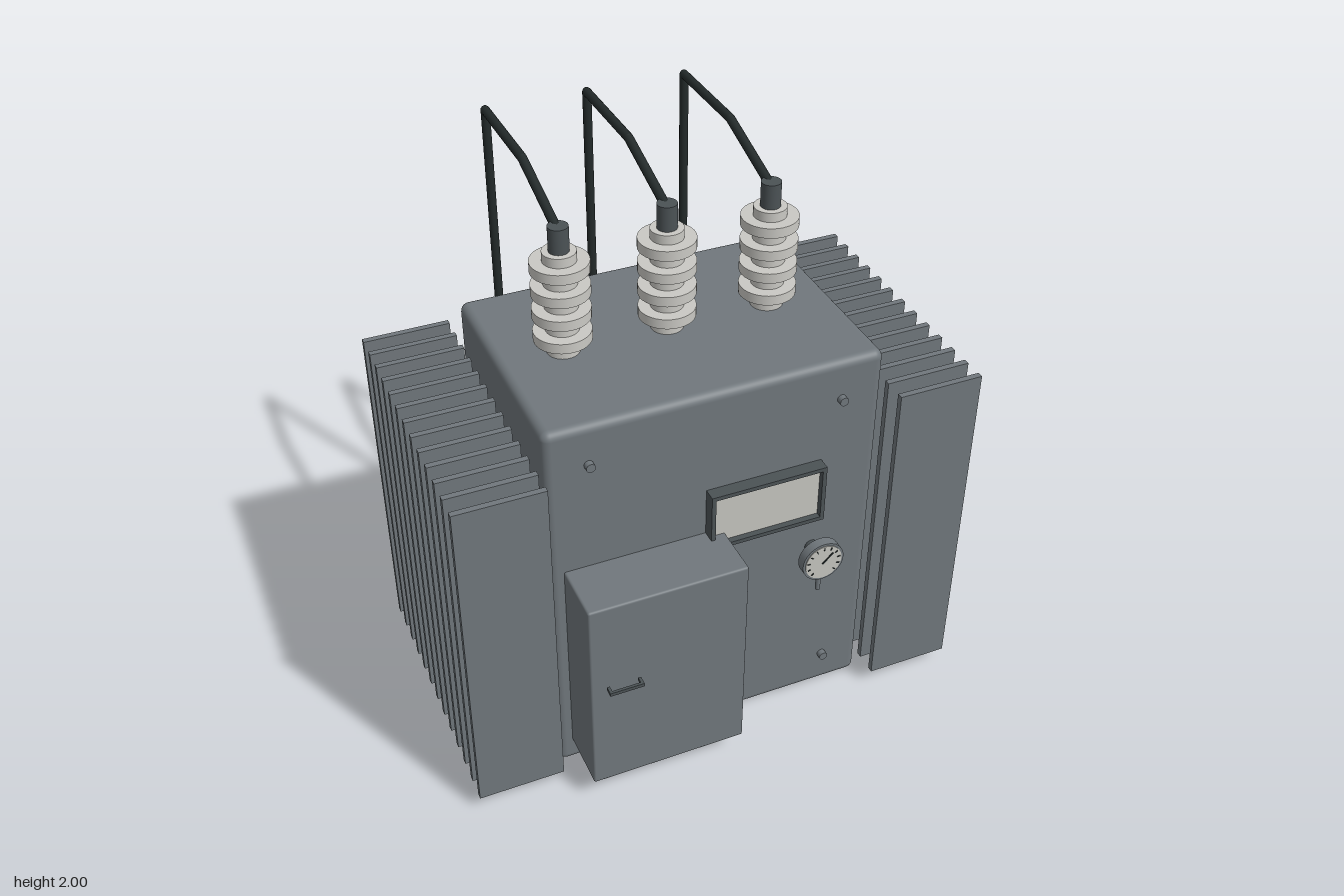
import * as THREE from 'three';
import { RoundedBoxGeometry } from 'three/addons/geometries/RoundedBoxGeometry.js';

const mat = (name, color) => {
  const m = new THREE.MeshStandardMaterial({ color });
  m.name = name;
  return m;
};

export function createModel() {
  const model = new THREE.Group();
  model.name = 'transformer';
  const paint = mat('grey paint', 0x70777c);
  const steel = mat('dark steel', 0x4b5255);
  const ceramic = mat('pale ceramic', 0xcac9c4);
  const plateColor = mat('plate', 0xc4c4be);
  const black = mat('black cable', 0x232a2a);

  const add = (parent, name, geometry, material, x = 0, y = 0, z = 0) => {
    const mesh = new THREE.Mesh(geometry, material);
    mesh.name = name;
    mesh.position.set(x, y, z);
    parent.add(mesh);
    return mesh;
  };
  const group = (name, x = 0, y = 0, z = 0) => {
    const g = new THREE.Group();
    g.name = name;
    g.position.set(x, y, z);
    model.add(g);
    return g;
  };
  const box = (w, h, d) => new THREE.BoxGeometry(w, h, d);
  const cyl = (r, h, n = 32) => new THREE.CylinderGeometry(r, r, h, n);
  const disc = (r, d, n = 32) => cyl(r, d, n).rotateX(Math.PI / 2);

  // Tank and control cabinet
  add(model, 'tank', new RoundedBoxGeometry(1.18, 1.445, 0.835, 4, 0.03), paint, 0, 0.7225, 0.0175);
  add(model, 'cabinet', new RoundedBoxGeometry(0.56, 0.79, 0.225, 2, 0.008), paint, -0.26, 0.49, 0.535);

  // Cabinet handle: a bar on two short posts
  const handle = group('handle', -0.43, 0.55, 0.69);
  add(handle, 'handleBar', box(0.12, 0.013, 0.01), steel);
  for (const s of [-1, 1]) add(handle, 'handlePost', box(0.01, 0.013, 0.027), steel, s * 0.055, 0, -0.0135);

  // Cooling fins along both sides
  const finGeometry = box(0.305, 1.255, 0.022);
  for (const side of [-1, 1]) {
    const fins = group(side > 0 ? 'leftRadiator' : 'rightRadiator', side * 0.761, 0.6875);
    for (let i = 0; i < 13; i++) add(fins, 'fin', finGeometry, paint, 0, 0, -0.486 + i * 0.0836);
  }

  // Bushings with cables running over the back
  const segment = (parent, a, b, r) => {
    const dir = b.clone().sub(a);
    const mesh = add(parent, 'cableSegment', cyl(r, dir.length(), 12), black);
    mesh.position.copy(a).add(b).multiplyScalar(0.5);
    mesh.quaternion.setFromUnitVectors(new THREE.Vector3(0, 1, 0), dir.normalize());
  };
  const route = [[1.885, 0.01], [1.982, -0.3], [1.982, -0.68], [0.08, -0.68]]
    .map(([y, z]) => new THREE.Vector3(0, y, z));
  for (const x of [-0.365, 0, 0.365]) {
    const bushing = group('bushing', x, 0, 0.017);
    add(bushing, 'insulatorCore', cyl(0.056, 0.38), ceramic, 0, 1.625);
    for (let i = 0; i < 4; i++) add(bushing, 'insulatorShed', cyl(0.097, 0.036), ceramic, 0, 1.51 + i * 0.0845);
    add(bushing, 'terminal', cyl(0.034, 0.09), steel, 0, 1.857);

    const cable = group('cable', x);
    for (let i = 0; i < 3; i++) {
      segment(cable, route[i], route[i + 1], 0.016);
      if (i < 2) add(cable, 'cableBend', new THREE.SphereGeometry(0.016, 12, 8), black, 0, route[i + 1].y, route[i + 1].z);
    }
  }

  // Rating plate inside a raised frame
  const plate = group('ratingPlate', 0.17, 0.953, 0.43);
  const frame = new THREE.Shape([[-0.21, -0.112], [0.21, -0.112], [0.21, 0.112], [-0.21, 0.112]]
    .map(([x, y]) => new THREE.Vector2(x, y)));
  frame.holes.push(new THREE.Path([[-0.195, -0.097], [-0.195, 0.097], [0.195, 0.097], [0.195, -0.097]]
    .map(([x, y]) => new THREE.Vector2(x, y))));
  add(plate, 'plateFrame', new THREE.ExtrudeGeometry(frame, { depth: 0.052, bevelEnabled: false }), steel);
  add(plate, 'plateFace', box(0.39, 0.194, 0.02), plateColor, 0, 0, 0.02);

  // Round gauge with ticks, needle and stem
  const gauge = group('gauge', 0.365, 0.69, 0.51);
  add(gauge, 'gaugeHub', disc(0.025, 0.08, 20), steel, 0, 0, -0.045);
  add(gauge, 'gaugeCase', disc(0.078, 0.036), paint);
  add(gauge, 'gaugeFace', disc(0.069, 0.004), plateColor, 0, 0, 0.019);
  for (let i = 0; i < 11; i++) {
    const a = (-45 + i * 27) * Math.PI / 180;
    const tick = add(gauge, 'tick', box(0.011, 0.004, 0.003), black, Math.cos(a) * 0.058, Math.sin(a) * 0.058, 0.022);
    tick.rotation.z = a;
  }
  add(gauge, 'needle', box(0.055, 0.005, 0.003), black, 0.014, 0.014, 0.0225).rotation.z = Math.PI / 4;
  add(gauge, 'gaugeStem', cyl(0.009, 0.075, 16), paint, 0, -0.108, -0.008);

  // Corner bolts on the front
  for (const x of [-0.443, 0.44]) {
    for (const y of [0.14, 1.297]) add(model, 'bolt', disc(0.016, 0.03, 16), paint, x, y, 0.442);
  }
  return model;
}
